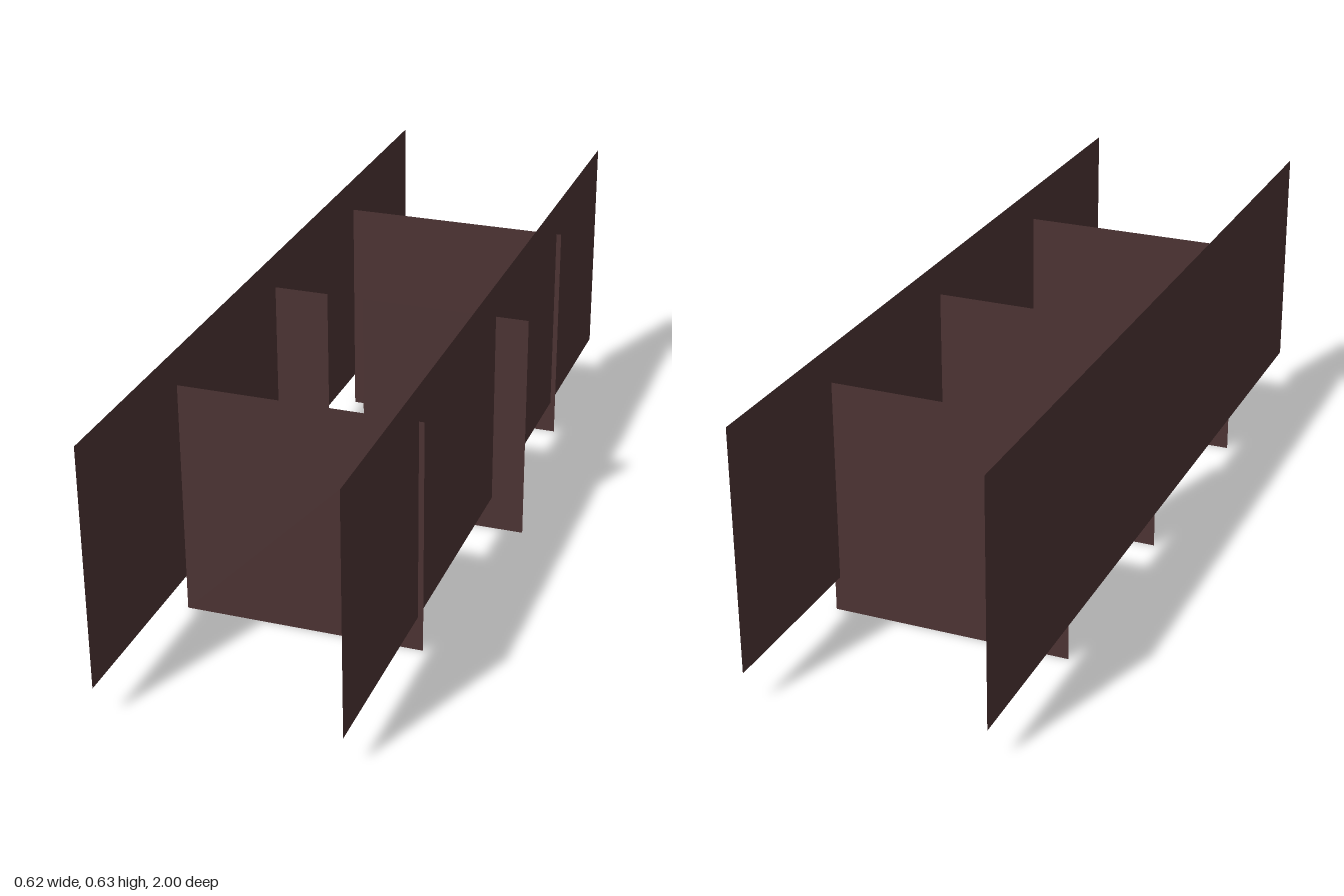
import * as THREE from 'three';

export function createModel() {
  const group = new THREE.Group();
  const material = new THREE.MeshStandardMaterial({ color: 0x4c3333, side: THREE.DoubleSide });
  const height = 0.55;
  const lift = 0.082; // long walls sit a little above the cross panels

  function addPanel(name, width, x, y, z, turn = 0) {
    const panel = new THREE.Mesh(new THREE.PlaneGeometry(width, height), material);
    panel.name = name;
    panel.position.set(x, y + height / 2, z);
    panel.rotation.y = turn;
    group.add(panel);
  }

  // Cross panel between two x positions
  const addCross = (name, x0, x1, z) => addPanel(name, x1 - x0, (x0 + x1) / 2, 0, z);

  // Long side walls
  addPanel('rightWall', 2, -0.308, lift, 0, -Math.PI / 2);
  addPanel('leftWall', 2, 0.231, lift, 0, Math.PI / 2);

  // Full dividers, poking just through the left wall
  addCross('frontDivider', -0.308, 0.243, 0.532);
  addCross('backDivider', -0.308, 0.243, -0.575);

  // Middle divider, split by a doorway
  addCross('middleDividerShort', -0.308, -0.178, -0.032);
  addCross('middleDividerLong', -0.09, 0.308, -0.032);

  return group;
}
